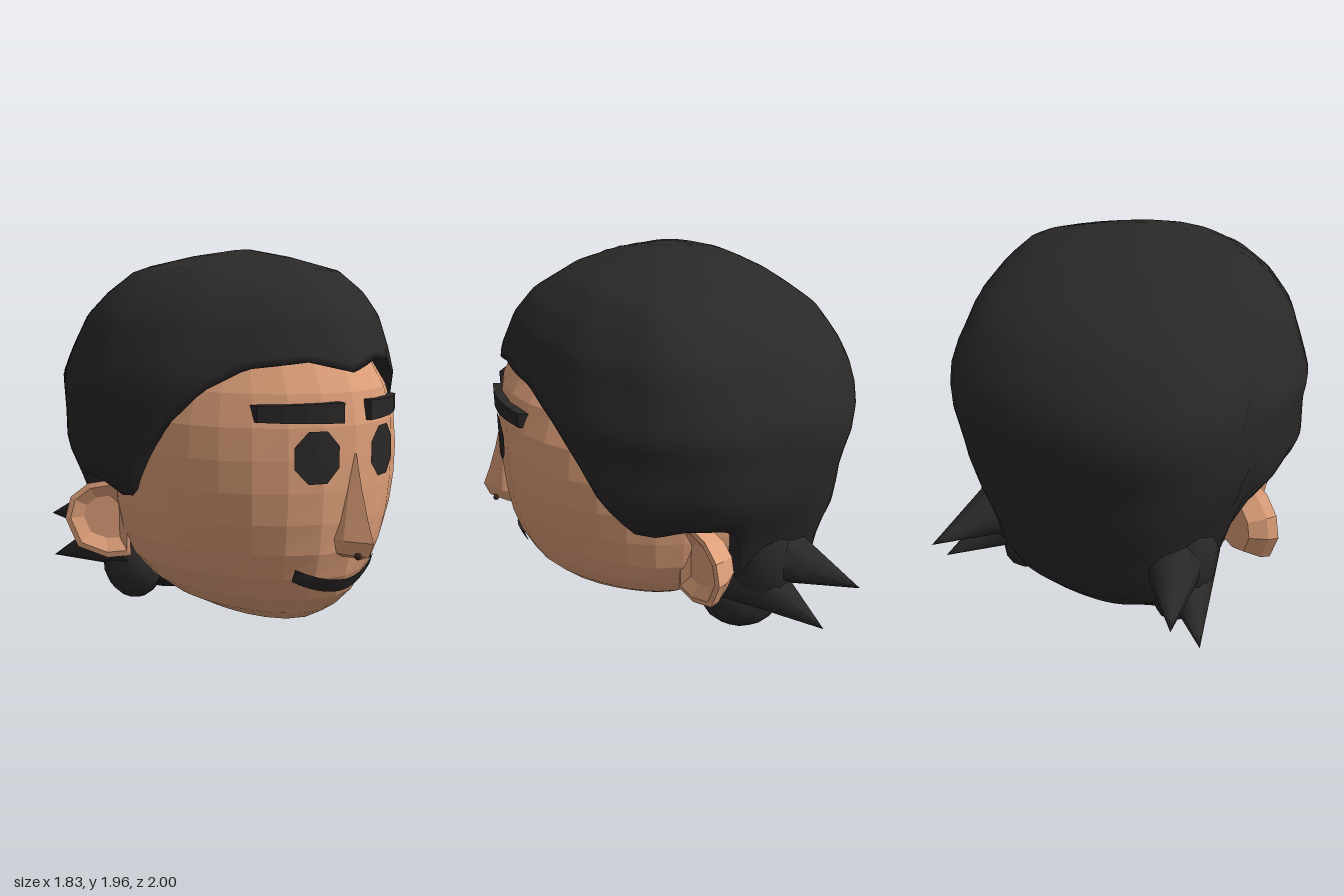
import * as THREE from 'three';

const V = (x, y, z) => new THREE.Vector3(x, y, z);
const mat = (color, flatShading = true) =>
  new THREE.MeshStandardMaterial({ color, flatShading, side: THREE.DoubleSide, roughness: 0.9 });

// Straight interpolation in a table of [key, value, value...] rows
function look(table, k, col = 1) {
  if (k <= table[0][0]) return table[0][col];
  for (let i = 1; i < table.length; i++) {
    const a = table[i - 1], b = table[i];
    if (k <= b[0]) return a[col] + (b[col] - a[col]) * (k - a[0]) / (b[0] - a[0]);
  }
  return table[table.length - 1][col];
}

// Skin over closed rings of points, with a centre point closing each end
function loft(rings, capStart = true, capEnd = true) {
  const n = rings[0].length, pts = rings.flat(), idx = [];
  for (let r = 0; r < rings.length - 1; r++) {
    for (let i = 0; i < n; i++) {
      const a = r * n + i, b = r * n + (i + 1) % n;
      idx.push(a, b, b + n, a, b + n, a + n);
    }
  }
  const cap = (r, flip) => {
    const c = rings[r].reduce((s, p) => s.add(p), V(0, 0, 0)).divideScalar(n);
    pts.push(c);
    for (let i = 0; i < n; i++) {
      const a = r * n + i, b = r * n + (i + 1) % n;
      idx.push(...(flip ? [b, a, pts.length - 1] : [a, b, pts.length - 1]));
    }
  };
  if (capStart) cap(0, true);
  if (capEnd) cap(rings.length - 1, false);
  const g = new THREE.BufferGeometry().setFromPoints(pts);
  g.setIndex(idx);
  g.computeVertexNormals();
  return g;
}

// Height, half width, reach to the front, reach to the back
const HEAD = [
  [0.09, 0.13, 0.41, 0.02], [0.13, 0.27, 0.52, 0.18], [0.2, 0.40, 0.64, 0.31], [0.3, 0.53, 0.74, 0.43],
  [0.42, 0.63, 0.805, 0.53], [0.55, 0.685, 0.84, 0.62], [0.7, 0.71, 0.855, 0.68], [0.85, 0.72, 0.862, 0.72],
  [1.0, 0.715, 0.862, 0.74], [1.15, 0.69, 0.86, 0.74], [1.3, 0.63, 0.83, 0.72], [1.45, 0.53, 0.75, 0.64],
  [1.6, 0.38, 0.55, 0.45], [1.7, 0.15, 0.2, 0.2]];
const HAIR = [
  [0.01, 0.36, 0.5, 0.45], [0.1, 0.54, 0.6, 0.6], [0.27, 0.62, 0.7, 0.76], [0.4, 0.65, 0.8, 0.83],
  [0.6, 0.70, 0.82, 0.86], [0.77, 0.75, 0.82, 0.92], [0.9, 0.84, 0.84, 0.93], [1.0, 0.88, 0.84, 0.94],
  [1.2, 0.88, 0.85, 1.0], [1.33, 0.9, 0.85, 0.98], [1.45, 0.86, 0.83, 0.94], [1.63, 0.8, 0.75, 0.81],
  [1.75, 0.71, 0.65, 0.64], [1.86, 0.59, 0.47, 0.4], [1.93, 0.28, 0.22, 0.2], [1.97, 0.01, 0.01, 0.01]];
// Angle round the head from the front, height of the lower hair edge
const EDGE = [
  [0, 1.39], [0.26, 1.44], [0.62, 1.41], [0.88, 1.31], [1.13, 1.12], [1.29, 0.95], [1.44, 0.78], [1.6, 0.76],
  [1.77, 0.82], [1.96, 0.83], [2.07, 0.78], [2.17, 0.4], [2.3, 0.14], [2.7, 0.06], [Math.PI, 0.01]];
// Height, squareness: face pointed at the mouth, hair boxy behind the ears and rounder above
const FACE = [[0.13, 1.95], [0.3, 1.75], [0.45, 1.68], [0.75, 1.92], [1.0, 2.0]];
const BACK = [[0.1, 2.3], [0.4, 2.8], [0.7, 2.8], [1.0, 2.45], [1.3, 2.4], [1.6, 2.25]];

// Distance from the vertical axis to a superellipse section
function reach(table, a, y, nFront, nBack) {
  const s = Math.abs(Math.sin(a)), c = Math.cos(a), n = c > 0 ? nFront : nBack;
  const d = look(table, y, c > 0 ? 2 : 3);
  return Math.pow(Math.pow(s / look(table, y), n) + Math.pow(Math.abs(c) / d, n), -1 / n);
}
const headReach = (a, y) => reach(HEAD, a, y, look(FACE, y), 2);
const polar = (a, r, y) => V(Math.sin(a) * r, y, Math.cos(a) * r);
const around = (n, f) => Array.from({ length: n }, (_, i) => f(-Math.PI + i / n * Math.PI * 2));

// Point just in front of the face
function onFace(x, y, lift = 0.01) {
  const n = look(FACE, y), k = Math.abs(x) / look(HEAD, y);
  return V(x, y, look(HEAD, y, 2) * Math.pow(1 - Math.pow(k, n), 1 / n) + lift);
}

function hairGeometry() {
  const n = 96, steps = 24, rings = [];
  // Underside, tucked in against the skull
  rings.push(around(n, a => {
    const y = look(EDGE, Math.abs(a)) + 0.07;
    return polar(a, Math.max(headReach(a, y) * 0.93, 0.2), y);
  }));
  for (let j = 0; j < steps; j++) {
    const t = 1 - j / steps;
    rings.push(around(n, a => {
      const low = look(EDGE, Math.abs(a));
      const y = 1.97 - (1.97 - low) * Math.pow(t, 1.6);
      const wave = 1 + 0.012 * Math.sin(9 * Math.abs(a) + 3 * y) * Math.sin(Math.abs(a));
      const full = reach(HAIR, a, y, 1.48, look(BACK, y)) * wave;
      const skull = y < 1.6 ? headReach(a, y) * 1.03 : 0;
      return polar(a, Math.max(full, skull), y);
    }));
  }
  return loft(rings, false, true);
}

// Pointed lock of hair from a root to a tip
function lock(root, tip, radius) {
  const d = tip.clone().sub(root), g = new THREE.ConeGeometry(radius, d.length(), 8, 2);
  g.translate(0, d.length() / 2, 0);
  g.applyQuaternion(new THREE.Quaternion().setFromUnitVectors(V(0, 1, 0), d.normalize()));
  return g.translate(root.x, root.y, root.z);
}

function earGeometry() {
  const outline = [[-0.08, -0.2], [0.04, -0.21], [0.19, -0.15], [0.25, 0], [0.22, 0.11], [0.13, 0.18], [0, 0.2], [-0.08, 0.12]];
  const ring = (s, w) => outline.map(([u, v]) => V(0.05 + (u - 0.05) * s, v * s, w));
  return loft([ring(0.7, -0.13), ring(0.95, -0.05), ring(1, 0), ring(0.86, 0.005), ring(0.55, -0.03)]);
}

function noseGeometry() {
  // Height, half width, back, tip
  const rows = [[0.53, 0.05, 0.76, 0.92], [0.55, 0.085, 0.76, 0.965], [0.62, 0.1, 0.78, 0.995],
    [0.72, 0.075, 0.8, 0.955], [0.86, 0.045, 0.82, 0.91], [1.02, 0.015, 0.83, 0.868]];
  return loft(rows.map(([y, w, b, t]) =>
    [V(-w, y, b), V(-w * 0.8, y, b + (t - b) * 0.45), V(0, y, t), V(w * 0.8, y, b + (t - b) * 0.45), V(w, y, b)]));
}

function mouthGeometry() {
  const pts = [], idx = [];
  for (let i = 0; i <= 10; i++) {
    const x = -0.25 + i * 0.05, k = (x / 0.25) ** 2;
    const low = 0.34 + 0.075 * k, top = 0.41 + 0.07 * k;
    for (const y of [low, (low + top) / 2, top]) pts.push(onFace(x, y, 0.016));
  }
  for (let i = 0; i < 10; i++) for (let j = 0; j < 2; j++) {
    const a = i * 3 + j;
    idx.push(a, a + 3, a + 4, a, a + 4, a + 1);
  }
  const g = new THREE.BufferGeometry().setFromPoints(pts);
  g.setIndex(idx);
  g.computeVertexNormals();
  return g;
}

// Curved bar that follows the forehead
function browGeometry() {
  const g = new THREE.BoxGeometry(0.35, 0.09, 0.06, 4, 1, 1), p = g.attributes.position;
  for (let i = 0; i < p.count; i++) {
    const x = p.getX(i) + 0.255, y = p.getY(i) * (1.1 - x * 0.6) + 1.215;
    p.setXYZ(i, x, y, onFace(x, 1.2, 0).z + p.getZ(i));
  }
  g.computeVertexNormals();
  return g;
}

export function createModel() {
  const model = new THREE.Group();
  const skin = mat(0xdfa07a), dark = mat(0x2a2727), hair = mat(0x2b2828, false);
  const add = (name, geometry, material, parent = model) => {
    const m = new THREE.Mesh(geometry, material);
    m.name = name;
    parent.add(m);
    return m;
  };

  add('head', loft(HEAD.map(r => around(32, a => polar(a, headReach(a, r[0]), r[0])))), skin);
  add('nose', noseGeometry(), skin);
  add('mouth', mouthGeometry(), dark);
  add('hair', hairGeometry(), hair);

  // Paired parts, mirrored across x
  for (const [label, s] of [['left', 1], ['right', -1]]) {
    const side = new THREE.Group();
    side.name = label + 'Side';
    side.scale.x = s;
    model.add(side);

    const eye = new THREE.CircleGeometry(1, 8, Math.PI / 8), p = eye.attributes.position;
    for (let i = 0; i < p.count; i++) {
      const q = onFace(0.2 + p.getX(i) * 0.11, 1.015 + p.getY(i) * 0.13);
      p.setXYZ(i, q.x, q.y, q.z);
    }
    eye.computeVertexNormals();
    add(label + 'Eye', eye, dark, side);
    add(label + 'Eyebrow', browGeometry(), dark, side);

    const nostril = add(label + 'Nostril', new THREE.SphereGeometry(0.018, 6, 4), mat(0x4a3024), side);
    nostril.position.set(0.03, 0.55, 0.925);

    const ear = add(label + 'Ear', earGeometry(), skin, side);
    ear.position.set(0.71, 0.61, -0.16);
    ear.rotation.y = 0.62;

    // Rounded locks below and behind the ear, then two flicked points at the nape
    const curls = [['NapeCurl', 0.46, 0.25, -0.43, 0.15, 0.18, 0.21], ['LockBehindEar', 0.53, 0.52, -0.52, 0.15, 0.28, 0.18]];
    for (const [name, x, y, z, rx, ry, rz] of curls) {
      const curl = add(label + name, new THREE.SphereGeometry(1, 10, 7), hair, side);
      curl.scale.set(rx, ry, rz);
      curl.position.set(x, y, z);
    }
    add(label + 'UpperFlick', lock(V(0.46, 0.56, -0.52), V(0.68, 0.46, -1.0), 0.2), hair, side);
    add(label + 'LowerFlick', lock(V(0.46, 0.42, -0.42), V(0.75, 0.26, -0.83), 0.19), hair, side);
  }
  return model;
}
